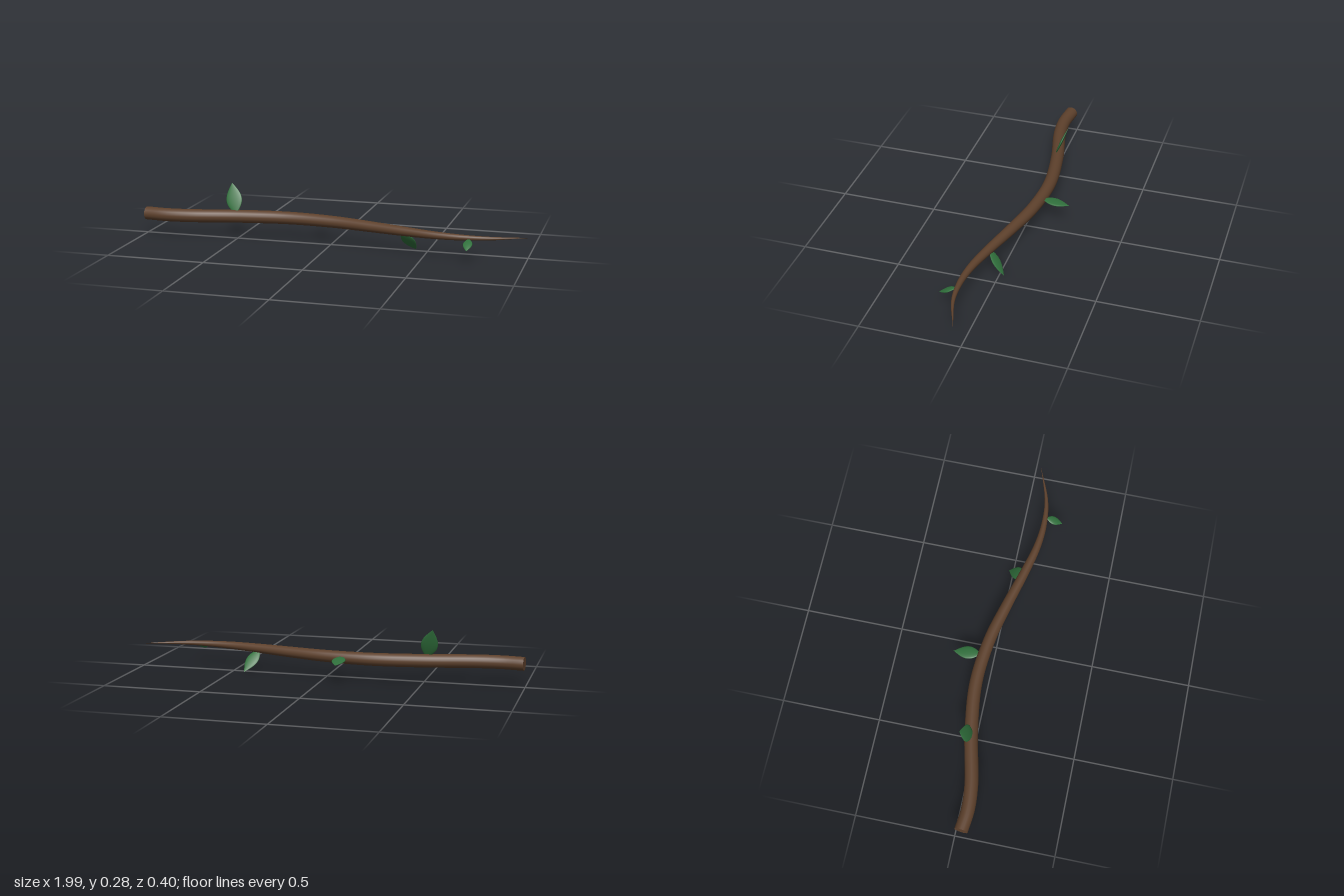
import * as THREE from 'three';

const barkMat = new THREE.MeshStandardMaterial({ color: 0x5e412c });
const leafMat = new THREE.MeshStandardMaterial({ color: 0x30703c });

const RADIUS = 0.034;
const HEIGHT = 0.112;

// Centre line of the branch: a gentle S in the ground plane
const path = new THREE.CatmullRomCurve3([
  [-0.99, 0.032], [-0.88, 0.043], [-0.75, 0.032], [-0.5, -0.023], [-0.24, -0.055],
  [0, -0.035], [0.2, 0.012], [0.4, 0.066], [0.55, 0.1], [0.68, 0.111], [0.82, 0.097], [1, 0.034],
].map(([x, z]) => new THREE.Vector3(x, HEIGHT, z)));

// Tube whose rings shrink towards the tip
function taperedBranch(segments, sides) {
  const geo = new THREE.TubeGeometry(path, segments, RADIUS, sides);
  const pos = geo.attributes.position;
  const v = new THREE.Vector3();
  for (let i = 0; i <= segments; i++) {
    const t = i / segments;
    const centre = path.getPointAt(t);
    const scale = Math.max(0.03, 1 - t ** 3.2);
    for (let j = 0; j <= sides; j++) {
      const k = i * (sides + 1) + j;
      v.fromBufferAttribute(pos, k).sub(centre).multiplyScalar(scale).add(centre);
      pos.setXYZ(k, v.x, v.y, v.z);
    }
  }
  geo.computeBoundingSphere();
  return geo;
}

// Flattened spindle, pointed at both ends, of unit length along +y
const leafProfile = [];
for (let i = 0; i <= 14; i++) {
  const t = i / 14;
  leafProfile.push(new THREE.Vector2(Math.sin(Math.PI * t ** 0.88) * 0.5, t));
}
leafProfile[0].x = leafProfile[14].x = 0;
const leafGeo = new THREE.LatheGeometry(leafProfile, 16);

function makeLeaf(base, tip, width) {
  const a = new THREE.Vector3(...base);
  const along = new THREE.Vector3(...tip).sub(a);
  const length = along.length();
  along.normalize();
  // The blade lies level along the branch
  const normal = new THREE.Vector3(1, 0, 0).cross(along).normalize();
  const across = along.clone().cross(normal);
  const leaf = new THREE.Mesh(leafGeo, leafMat);
  leaf.quaternion.setFromRotationMatrix(new THREE.Matrix4().makeBasis(across, along, normal));
  leaf.scale.set(width, length, 0.013);
  leaf.position.copy(a);
  return leaf;
}

export function createModel() {
  const group = new THREE.Group();
  group.name = 'leafyBranch';

  const branch = new THREE.Mesh(taperedBranch(80, 20), barkMat);
  branch.name = 'branch';
  group.add(branch);

  // Flat cut at the thick end
  const cut = new THREE.Mesh(new THREE.CircleGeometry(RADIUS, 20), barkMat);
  cut.name = 'cutEnd';
  cut.position.copy(path.getPointAt(0));
  cut.quaternion.setFromUnitVectors(new THREE.Vector3(0, 0, 1), path.getTangentAt(0).negate());
  group.add(cut);

  // Leaves: base, tip, width
  [
    [[-0.512, 0.128, -0.01], [-0.552, 0.277, -0.068], 0.085],
    [[-0.09, 0.12, -0.063], [-0.095, 0.101, -0.202], 0.068],
    [[0.382, 0.105, 0.066], [0.437, 0.001, -0.024], 0.066],
    [[0.725, 0.109, 0.116], [0.728, 0.069, 0.202], 0.046],
  ].forEach(([base, tip, width], i) => {
    const leaf = makeLeaf(base, tip, width);
    leaf.name = `leaf${i + 1}`;
    group.add(leaf);
  });

  return group;
}
